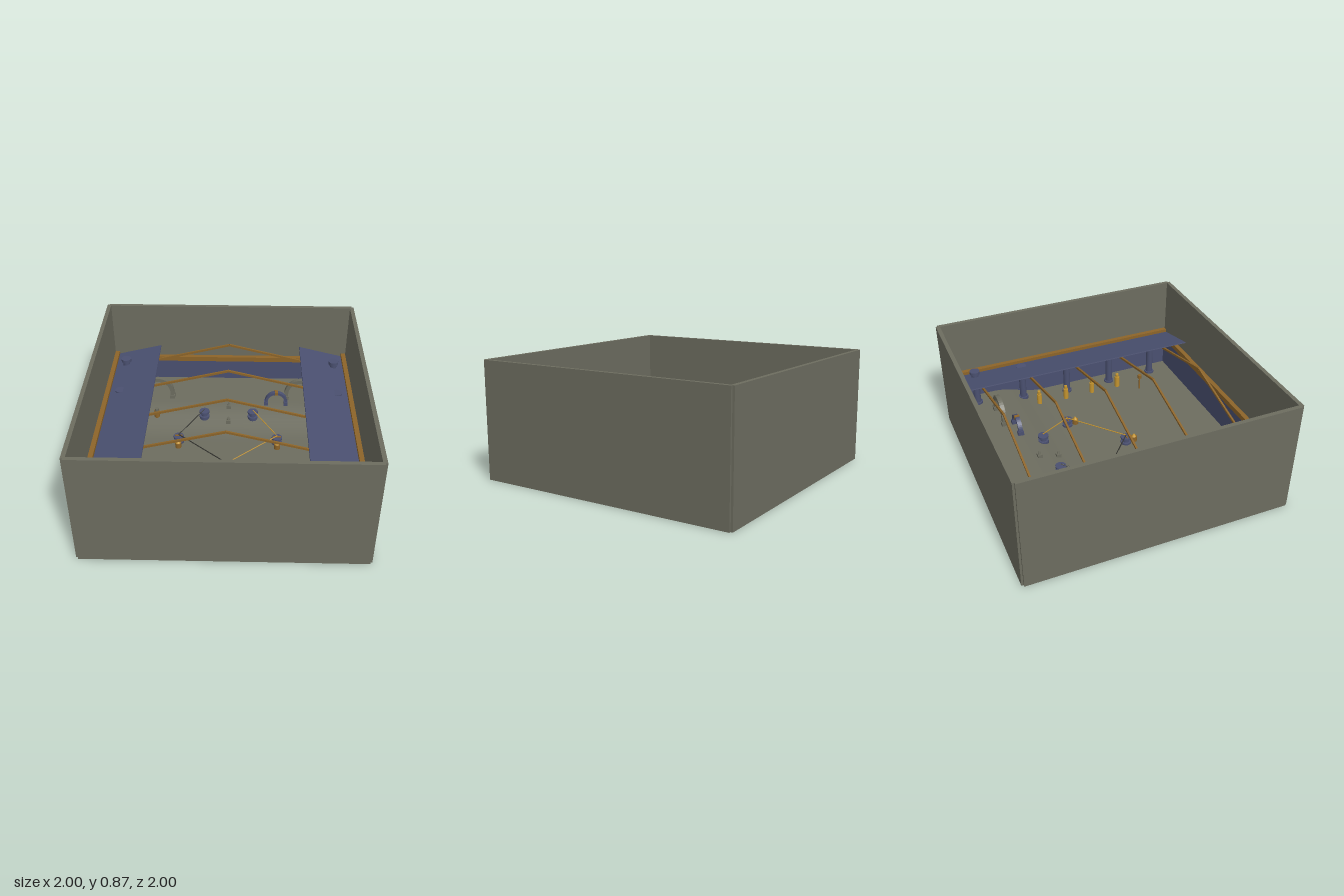
import * as THREE from 'three';

export function createModel() {
  const model = new THREE.Group();
  const mat = (name, color, side = THREE.FrontSide) => {
    const m = new THREE.MeshStandardMaterial({ color, side });
    m.name = name;
    return m;
  };
  const stone = mat('stone grey', 0x6c6c5f);
  const ground = mat('ground grey', 0x6c6c5f, THREE.DoubleSide);
  const slate = mat('slate blue', 0x4a5070);
  const timber = mat('timber brown', 0x8c6429);
  const brass = mat('brass yellow', 0xc4942f);
  const dark = mat('dark cable', 0x33332e);

  const add = (name, geo, material, x = 0, y = 0, z = 0) => {
    const mesh = new THREE.Mesh(geo, material);
    mesh.name = name;
    mesh.position.set(x, y, z);
    model.add(mesh);
    return mesh;
  };
  const box = (name, m, w, h, d, x, y, z) => add(name, new THREE.BoxGeometry(w, h, d), m, x, y, z);
  const cyl = (name, m, r, h, x, y, z, top = r) => add(name, new THREE.CylinderGeometry(top, r, h, 12), m, x, y, z);
  const rod = (name, m, r, a, b) => {
    const p = new THREE.Vector3(...a), q = new THREE.Vector3(...b);
    const mesh = add(name, new THREE.CylinderGeometry(r, r, p.distanceTo(q), 6), m);
    mesh.position.copy(p).add(q).multiplyScalar(0.5);
    mesh.quaternion.setFromUnitVectors(new THREE.Vector3(0, 1, 0), q.sub(p).normalize());
  };

  // Ground height: flat, rising smoothly to a terrace at the back
  const floorY = z => 0.1 + 0.085 * THREE.MathUtils.smoothstep(-z, 0.2, 0.6);
  const roofY = x => 0.64 - 0.246 * Math.abs(x);

  // Outer walls, inner lining and eaves rails
  for (const s of [-1, 1]) {
    box('sideWall', stone, 0.03, 0.866, 1.97, s * 0.985, 0.433, 0);
    box('endWall', stone, 1.97, 0.866, 0.03, 0, 0.433, s * 0.985);
    box('sideLining', slate, 0.01, 0.4, 1.93, s * 0.964, 0.201, 0);
    box('endLining', slate, 1.92, 0.37, 0.01, 0, 0.186, s * 0.964);
    box('sideRail', timber, 0.035, 0.04, 1.93, s * 0.95, 0.42, 0);
    box('endRail', timber, 1.88, 0.04, 0.035, 0, 0.39, s * 0.948);
  }

  // Ground sheet
  const sheet = new THREE.PlaneGeometry(1.92, 1.92, 1, 48).rotateX(-Math.PI / 2);
  const p = sheet.attributes.position;
  for (let i = 0; i < p.count; i++) p.setY(i, floorY(p.getZ(i)));
  sheet.computeVertexNormals();
  add('ground', sheet, ground);

  // Roof panels, rafters and the posts under them
  for (const s of [-1, 1]) {
    const panel = box('roofPanel', slate, 0.366, 0.008, 1.93, s * 0.757, roofY(0.757), 0);
    panel.rotation.z = -s * Math.atan(0.246);
    for (let i = -2; i <= 2; i++) {
      const z = i * 0.385;
      const rafter = box('rafter', timber, 0.965, 0.016, 0.014, s * 0.468, roofY(0.468) - 0.013, z);
      rafter.rotation.z = -s * Math.atan(0.246);
      const y = floorY(z);
      cyl('post', slate, 0.028, 0.3, s * 0.85, y + 0.14, z);
      cyl('postFoot', slate, 0.04, 0.03, s * 0.85, y, z);
      cyl('postCap', slate, 0.04, 0.025, s * 0.85, y + 0.29, z);
    }
  }

  // Spools joined by cables
  const spools = [[-0.195, -0.435], [-0.385, -0.17], [0, 0.17], [0.385, -0.17], [0.195, -0.435]];
  const cableY = z => floorY(z) + 0.03;
  spools.forEach(([x, z], i) => {
    const y = floorY(z);
    cyl('spoolBase', slate, 0.041, 0.03, x, y, z);
    cyl('spoolCore', slate, 0.025, 0.04, x, y + 0.03, z);
    cyl('spoolTop', slate, 0.041, 0.016, x, y + 0.05, z);
    if (i < 4) {
      const [x2, z2] = spools[i + 1];
      rod('cable', i < 2 ? dark : brass, 0.004, [x, cableY(z) + 0.04, z], [x2, cableY(z2) + 0.04, z2]);
    }
    if (i > 0 && i < 4) {
      box('spoolBar', timber, 0.06, 0.006, 0.008, x, y + 0.061, z);
      cyl('marker', timber, 0.024, 0.04, x, y + 0.02, z + 0.067);
      cyl('markerTop', brass, 0.018, 0.02, x, y + 0.05, z + 0.067, 0.006);
    }
  });

  // Arches standing on the ground
  const arch = (name, m, x, z, r, t, leg, depth) => {
    const s = new THREE.Shape();
    s.moveTo(r, -0.02);
    s.lineTo(r, leg);
    s.absarc(0, leg, r, 0, Math.PI, false);
    s.lineTo(-r, -0.02);
    s.lineTo(-r + t, -0.02);
    s.lineTo(-r + t, leg);
    s.absarc(0, leg, r - t, Math.PI, 0, true);
    s.lineTo(r - t, -0.02);
    const geo = new THREE.ExtrudeGeometry(s, { depth, bevelEnabled: false, curveSegments: 10 });
    add(name, geo.translate(0, 0, -depth / 2), m, x, floorY(z), z);
    for (const e of [-1, 1])
      box(name + 'Foot', m, t + 0.012, 0.04, depth + 0.012, x + e * (r - t / 2), floorY(z) + 0.012, z);
  };
  for (const s of [-1, 1]) arch('largeArch', stone, s * 0.585, -0.66, 0.128, 0.03, 0.06, 0.034);
  for (const [x, z] of [[0.385, -0.58], [-0.575, 0.475]]) {
    arch('smallArch', slate, x, z, 0.09, 0.02, 0.03, 0.034);
    box('archBand', timber, 0.025, 0.026, 0.04, x, floorY(z) + 0.11, z);
  }

  // Row of brass bollards
  for (let i = 0; i < 4; i++) {
    const z = 0.42 - i * 0.233, y = floorY(z);
    cyl('bollard', brass, 0.02, 0.1, 0.75, y + 0.04, z);
    cyl('bollardCap', brass, 0.013, 0.03, 0.75, y + 0.105, z);
  }

  // Small ground fittings
  for (const z of [-0.53, -0.385]) {
    box('block', stone, 0.036, 0.03, 0.036, 0, floorY(z) + 0.01, z);
    cyl('blockTip', stone, 0.013, 0.03, 0, floorY(z) + 0.035, z, 0.005);
  }
  for (const [x, z] of [[-0.58, -0.435], [-0.63, 0.29], [-0.73, 0.01]]) {
    cyl('stub', timber, 0.022, 0.07, x, floorY(z) + 0.02, z);
    cyl('stubCap', stone, 0.016, 0.02, x, floorY(z) + 0.065, z);
  }
  cyl('lampStem', timber, 0.006, 0.12, 0.64, floorY(0.58) + 0.05, 0.58);
  cyl('lampHead', timber, 0.016, 0.03, 0.64, floorY(0.58) + 0.12, 0.58);

  return model;
}
